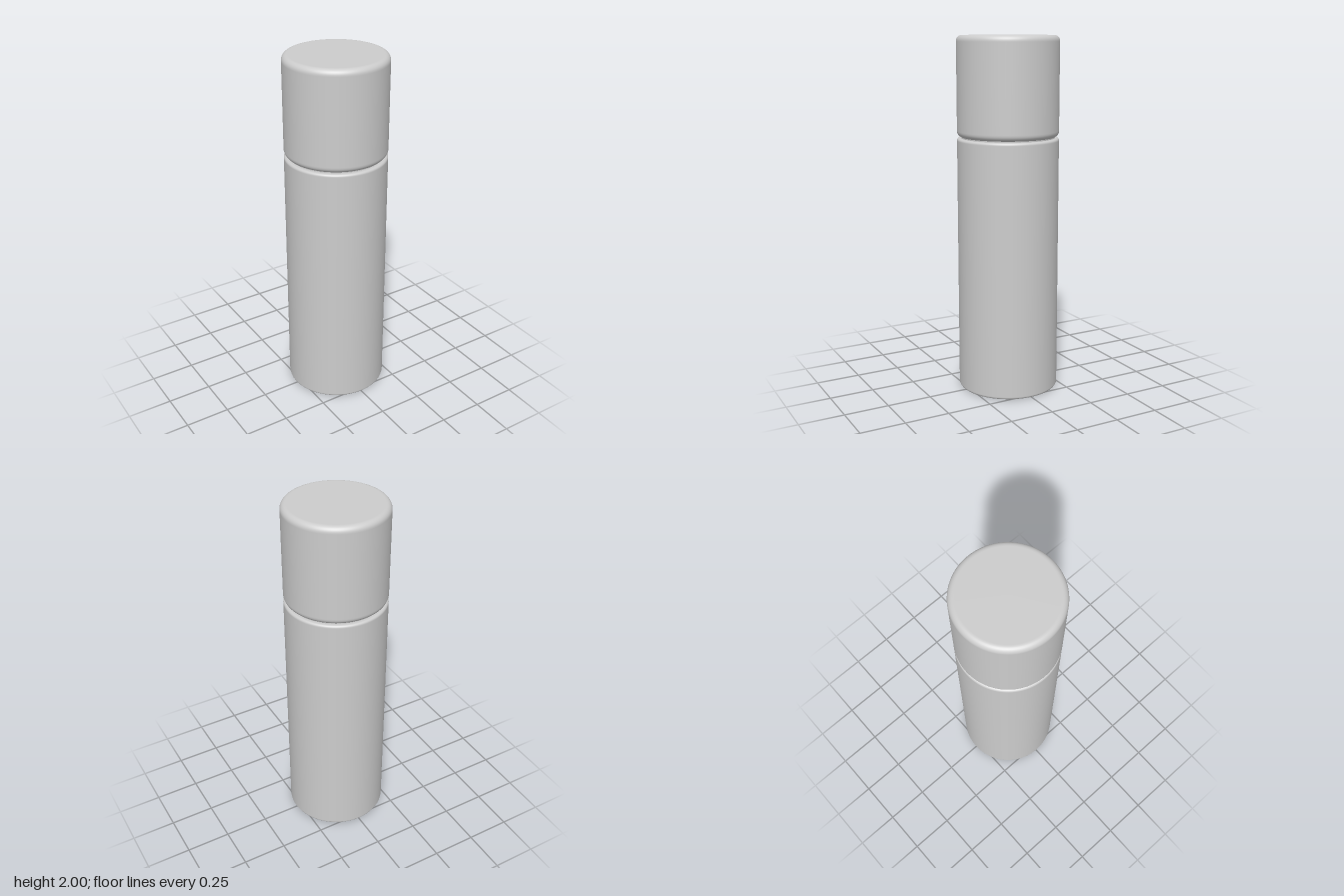
import * as THREE from 'three';

// Solid of revolution with rounded bottom and top rims
function roundedCylinder(name, material, radius, y0, y1, bottomRound, topRound) {
  const points = [new THREE.Vector2(0, y0)];
  const steps = 8;
  const addRim = (r, cy, from) => {
    for (let i = 0; i <= steps; i++) {
      const a = from + (i / steps) * Math.PI / 2;
      points.push(new THREE.Vector2(radius - r + r * Math.cos(a), cy + r * Math.sin(a)));
    }
  };
  // Support points keep the flat faces and straight wall evenly shaded
  points.push(new THREE.Vector2(radius - bottomRound - 0.004, y0));
  addRim(bottomRound, y0 + bottomRound, -Math.PI / 2);
  points.push(new THREE.Vector2(radius, y0 + bottomRound + 0.004));
  points.push(new THREE.Vector2(radius, y1 - topRound - 0.004));
  addRim(topRound, y1 - topRound, 0);
  points.push(new THREE.Vector2(radius - topRound - 0.004, y1));
  points.push(new THREE.Vector2(0, y1));
  const mesh = new THREE.Mesh(new THREE.LatheGeometry(points, 96), material);
  mesh.name = name;
  return mesh;
}

export function createModel() {
  const group = new THREE.Group();
  group.name = 'bottle';
  const grey = new THREE.MeshStandardMaterial({ color: 0xcccccc });
  grey.name = 'light grey';

  // Tall body, short recessed neck and cap
  group.add(roundedCylinder('body', grey, 0.284, 0, 1.44, 0.014, 0.014));
  group.add(roundedCylinder('neck', grey, 0.26, 1.42, 1.47, 0.004, 0.004));
  group.add(roundedCylinder('cap', grey, 0.284, 1.445, 2, 0.032, 0.032));
  return group;
}
